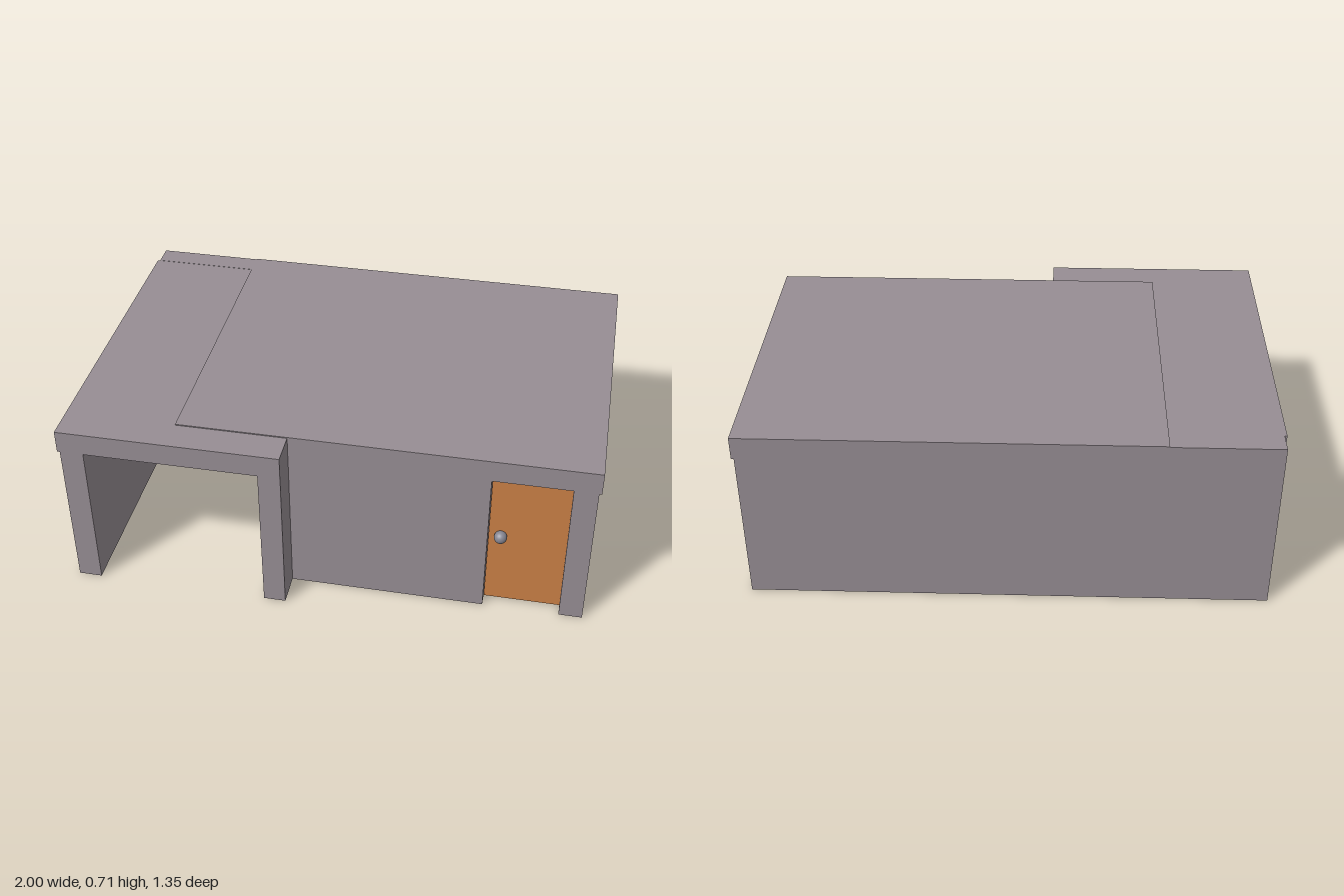
import * as THREE from 'three';

export function createModel() {
  const model = new THREE.Group();
  model.name = 'house';

  const wallGrey = new THREE.MeshStandardMaterial({ color: 0x978e94 });
  wallGrey.name = 'wall grey';
  const doorOrange = new THREE.MeshStandardMaterial({ color: 0xcb8046 });
  doorOrange.name = 'door orange';
  const knobSteel = new THREE.MeshStandardMaterial({ color: 0x868692 });
  knobSteel.name = 'knob steel';

  // Box given by its limits on each axis
  function block(name, material, [x0, x1], [y0, y1], [z0, z1], parent = model) {
    const mesh = new THREE.Mesh(new THREE.BoxGeometry(x1 - x0, y1 - y0, z1 - z0), material);
    mesh.position.set((x0 + x1) / 2, (y0 + y1) / 2, (z0 + z1) / 2);
    mesh.name = name;
    parent.add(mesh);
    return mesh;
  }

  // Outer walls; the back wall rises to the roof top
  const wallY = [0, 0.62];
  block('backWall', wallGrey, [-0.99, 0.99], [0, 0.706], [-0.678, -0.59]);
  block('leftWall', wallGrey, [0.9, 0.99], wallY, [-0.59, 0.549]);
  block('garageWall', wallGrey, [-0.99, -0.9], wallY, [-0.59, 0.675]);
  block('frontWall', wallGrey, [-0.15, 0.605], wallY, [0.46, 0.549]);

  // Wall between the garage and the room, stopping at the inner doorway
  block('partitionWall', wallGrey, [-0.235, -0.15], wallY, [-0.295, 0.675]);

  // Overlapping roof slabs
  block('garageRoof', wallGrey, [-1, -0.15], [0.615, 0.705], [-0.59, 0.676]);
  block('mainRoof', wallGrey, [-0.575, 1], [0.62, 0.709], [-0.678, 0.55]);

  // Door with a round knob on each face, facing +z
  function door(name) {
    const group = new THREE.Group();
    group.name = name;
    block('doorPanel', doorOrange, [-0.146, 0.148], [0.008, 0.61], [-0.0125, 0.0125], group);
    for (const side of [-1, 1]) {
      const knob = new THREE.Mesh(new THREE.SphereGeometry(0.025, 24, 16), knobSteel);
      knob.position.set(-0.1, 0.33, side * 0.026);
      knob.name = 'doorKnob';
      group.add(knob);
    }
    model.add(group);
    return group;
  }
  door('frontDoor').position.set(0.752, 0, 0.493);
  const inner = door('innerDoor');
  inner.rotation.y = Math.PI / 2;
  inner.position.set(-0.192, 0, -0.443);

  return model;
}
